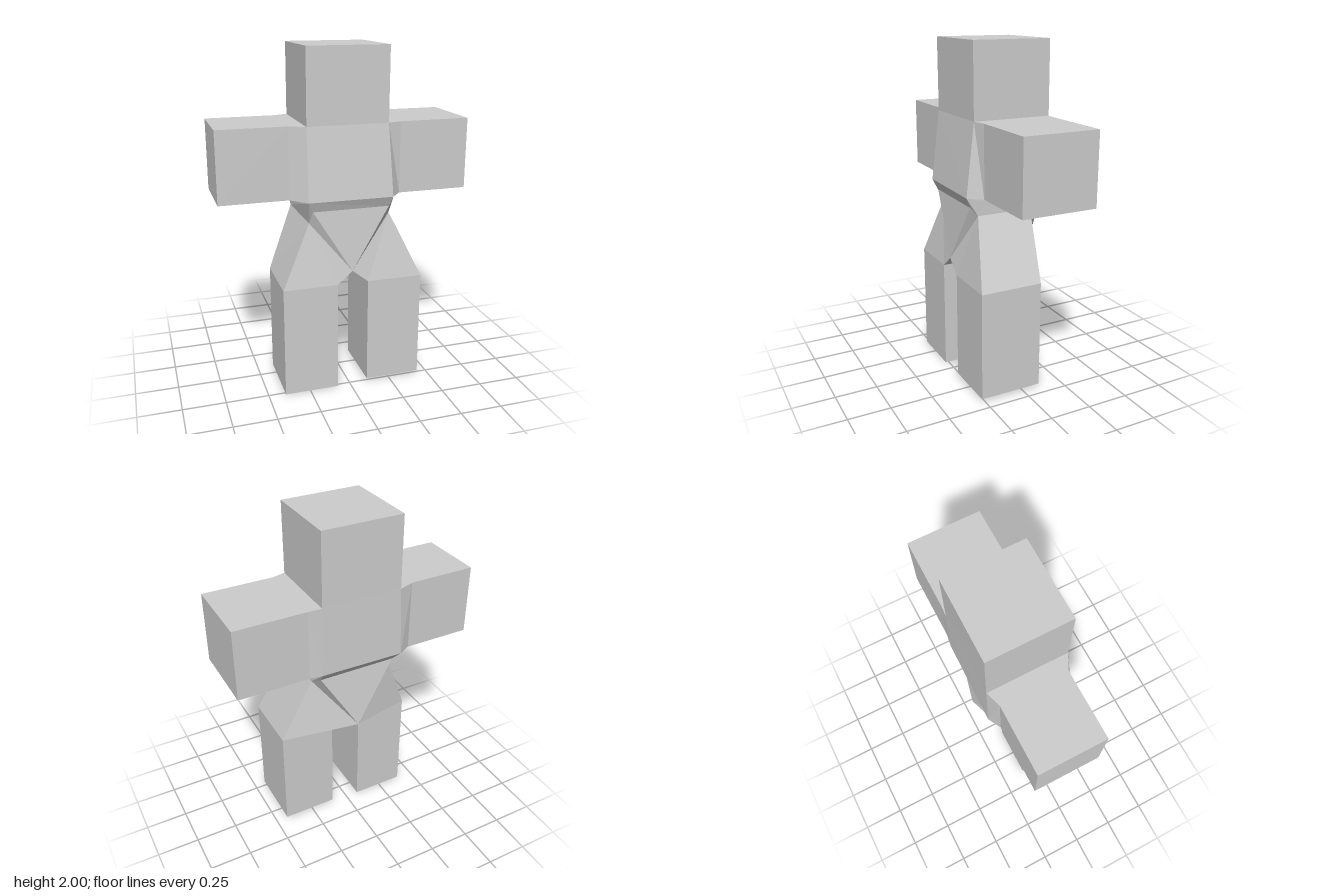
import * as THREE from 'three';

const grey = new THREE.MeshStandardMaterial({ color: 0xcccccc });
grey.name = 'plain grey';

// Mesh from convex polygons; flipped when a part lies on the -x side
function faceted(name, polygons, flip = false) {
  const pos = [];
  for (const p of polygons) {
    for (let i = 1; i < p.length - 1; i++) {
      const tri = flip ? [p[0], p[i + 1], p[i]] : [p[0], p[i], p[i + 1]];
      for (const v of tri) pos.push(...v);
    }
  }
  const g = new THREE.BufferGeometry();
  g.setAttribute('position', new THREE.Float32BufferAttribute(pos, 3));
  g.computeVertexNormals();
  const mesh = new THREE.Mesh(g, grey);
  mesh.name = name;
  return mesh;
}

// Walls between successive loops, with a cap on the last one
function loft(loops) {
  const faces = [];
  for (let k = 0; k < loops.length - 1; k++) {
    const a = loops[k], b = loops[k + 1];
    a.forEach((v, i) => {
      const j = (i + 1) % a.length;
      faces.push([v, a[j], b[j], b[i]]);
    });
  }
  faces.push(loops[loops.length - 1]);
  return faces;
}

const SHOULDER = 1.575, CHEST = 1.16, WAIST = 1.1, KNEE = 0.66;
const crotchF = [0.01, 0.735, 0.265], crotchB = [0.01, 0.735, -0.26];

// Measurements of the two slightly different halves
const halves = [
  {
    label: 'left', s: 1,
    topF: [0.235, SHOULDER, 0.213], topB: [0.235, SHOULDER, -0.255],
    lowF: [0.25, CHEST, 0.268], lowB: [0.24, CHEST, -0.262],
    waistF: [0.235, WAIST, 0.24], waistB: [0.23, WAIST, -0.215],
    hipF: [0.25, 1.05, 0.198], hipB: [0.25, 1.05, -0.135],
    arm: { root: 0.315, end: 0.73, front: 0.192, back: -0.25 },
    leg: { inner: 0.105, outer: 0.435, front: 0.268, back: -0.105, foot: 0.02 },
  },
  {
    label: 'right', s: -1,
    topF: [-0.24, SHOULDER, 0.213], topB: [-0.24, SHOULDER, -0.26],
    lowF: [-0.245, CHEST, 0.262], lowB: [-0.255, CHEST, -0.27],
    waistF: [-0.215, WAIST, 0.238], waistB: [-0.235, WAIST, -0.215],
    hipF: [-0.228, 1.025, 0.2], hipB: [-0.255, 1.045, -0.135],
    arm: { root: -0.33, end: -0.73, front: 0.167, back: -0.23 },
    leg: { inner: -0.08, outer: -0.4, front: 0.268, back: -0.105, foot: 0 },
  },
];

export function createModel() {
  const model = new THREE.Group();
  model.name = 'blockFigure';
  const [L, R] = halves;

  // Chest, waist band and pointed pelvis, front and back
  model.add(faceted('torso', [
    [R.topF, R.lowF, L.lowF, L.topF],
    [L.topB, L.lowB, R.lowB, R.topB],
  ]));
  model.add(faceted('waist', [
    [R.lowF, R.waistF, L.waistF, L.lowF],
    [L.lowB, L.waistB, R.waistB, R.lowB],
  ]));
  model.add(faceted('pelvis', [
    [R.waistF, crotchF, L.waistF],
    [L.waistB, crotchB, R.waistB],
  ]));

  // Head rises straight from the shoulder ring
  const neck = [R.topF, L.topF, L.topB, R.topB];
  const crown = [[-0.24, 2, 0.215], [0.235, 2, 0.215], [0.235, 2, -0.253], [-0.24, 2, -0.255]];
  model.add(faceted('head', loft([neck, crown].map((r) => r))));

  for (const h of halves) {
    const flip = h.s < 0;

    // Arm with a short tapered shoulder
    const section = (x) => [
      [x, SHOULDER, h.arm.front], [x, CHEST, h.arm.front],
      [x, CHEST, h.arm.back], [x, SHOULDER, h.arm.back],
    ];
    model.add(faceted(h.label + 'Arm', loft([
      [h.topF, h.lowF, h.lowB, h.topB], section(h.arm.root), section(h.arm.end),
    ]), flip));

    // Flank and thigh between the waist, the crotch and the leg block
    const ring = (y) => [
      [h.leg.outer, y, h.leg.front], [h.leg.inner, y, h.leg.front],
      [h.leg.inner, y, h.leg.back], [h.leg.outer, y, h.leg.back],
    ];
    const [outF, inF, inB, outB] = ring(KNEE);
    model.add(faceted(h.label + 'Hip', [
      [h.lowF, h.waistF, h.hipF],
      [h.lowF, h.hipF, h.hipB, h.lowB],
      [h.hipB, h.waistB, h.lowB],
      [h.waistF, crotchF, h.hipF],
      [h.waistB, h.hipB, crotchB],
    ], flip));
    model.add(faceted(h.label + 'Thigh', [
      [h.hipF, crotchF, inF, outF],
      [h.hipF, outF, outB, h.hipB],
      [h.hipB, outB, crotchB],
      [crotchB, outB, inB],
      [crotchF, crotchB, inB, inF],
    ], flip));

    // Straight lower leg
    model.add(faceted(h.label + 'Leg', loft([ring(KNEE), ring(h.leg.foot)]), flip));
  }
  return model;
}
